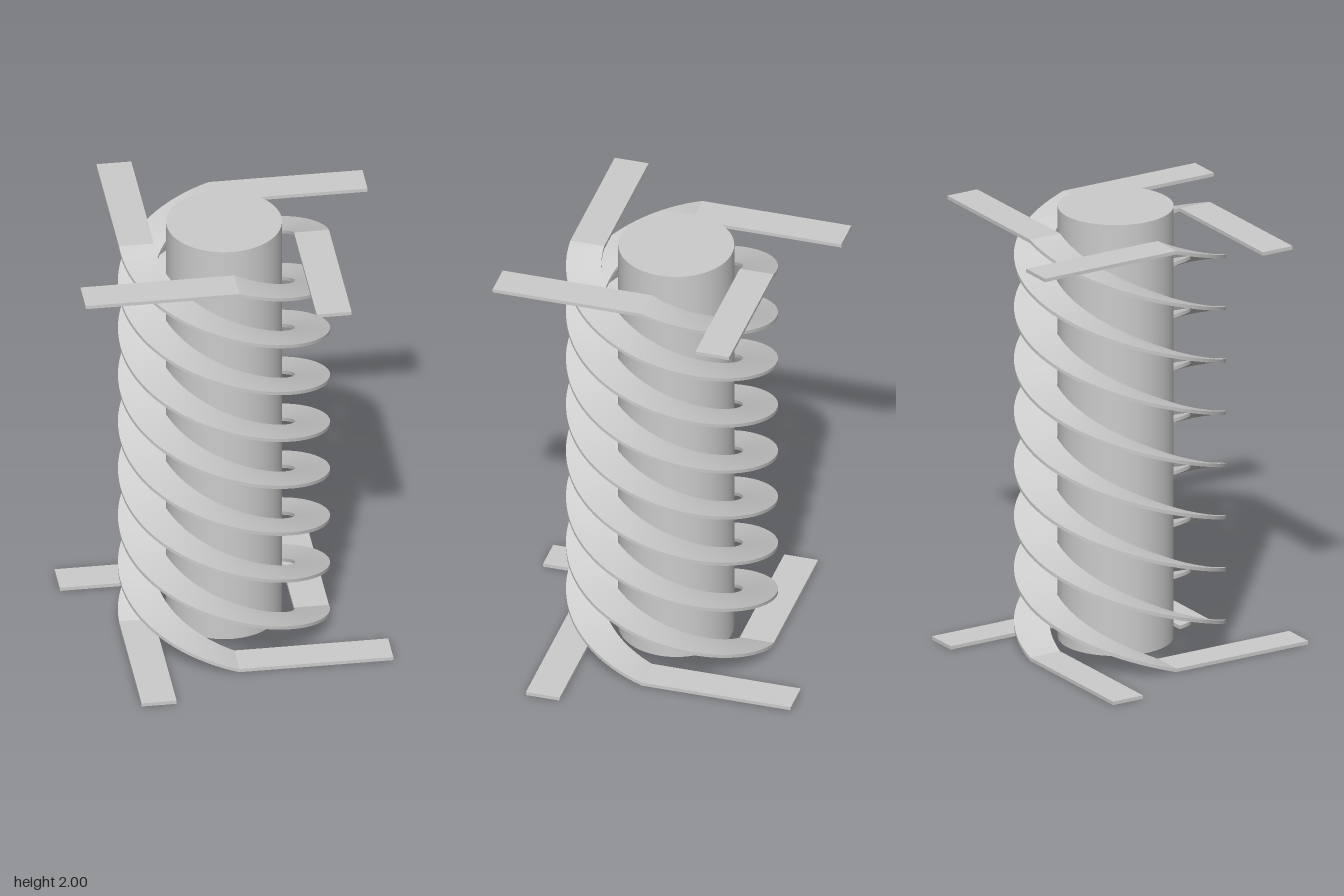
import * as THREE from 'three';

const INNER = 0.305, OUTER = 0.457, THICK = 0.016;
const TOP = 1.92, BOTTOM = 0.01, TURNS = 2, REACH = 0.67;

// Flat spiral ribbon descending from the front, rectangular in section
function ribbonGeometry(segments = 160) {
  const h = THICK / 2;
  const corners = [[OUTER, h], [INNER, h], [INNER, -h], [OUTER, -h]];
  const positions = [], index = [];
  // Each side has its own vertices, so the long edges stay sharp
  corners.forEach((corner, k) => {
    const pair = [corner, corners[(k + 1) % 4]];
    const base = positions.length / 3;
    for (let i = 0; i <= segments; i++) {
      const t = i / segments, a = t * TURNS * Math.PI * 2;
      const y = TOP + (BOTTOM - TOP) * t;
      for (const [r, dy] of pair) positions.push(r * Math.sin(a), y + dy, r * Math.cos(a));
      if (i < segments) {
        const p = base + i * 2;
        index.push(p, p + 2, p + 1, p + 1, p + 2, p + 3);
      }
    }
  });
  const geometry = new THREE.BufferGeometry();
  geometry.setAttribute('position', new THREE.Float32BufferAttribute(positions, 3));
  geometry.setIndex(index);
  geometry.computeVertexNormals();
  return geometry;
}

export function createModel() {
  const model = new THREE.Group();
  model.name = 'spiralColumn';
  const material = new THREE.MeshStandardMaterial({ color: 0xcccccc });
  const add = (parent, name, geometry, x, y, z) => {
    const mesh = new THREE.Mesh(geometry, material);
    mesh.name = name;
    mesh.position.set(x, y, z);
    parent.add(mesh);
  };

  // Central column, slightly off the axis of the spirals
  add(model, 'column', new THREE.CylinderGeometry(0.25, 0.25, 1.97, 64), 0.003, 1.015, -0.02);

  // Four interleaved spirals, each with a straight tangent arm at both ends
  const ribbon = ribbonGeometry();
  const arm = new THREE.BoxGeometry(REACH, THICK, OUTER - INNER);
  const mid = (INNER + OUTER) / 2;
  for (let k = 0; k < 4; k++) {
    const strand = new THREE.Group();
    strand.name = `strand${k + 1}`;
    strand.rotation.y = k * Math.PI / 2;
    add(strand, 'spiralRibbon', ribbon, 0, 0, 0);
    add(strand, 'topArm', arm, -REACH / 2, TOP, mid);
    add(strand, 'bottomArm', arm, REACH / 2, BOTTOM, mid);
    model.add(strand);
  }
  return model;
}
